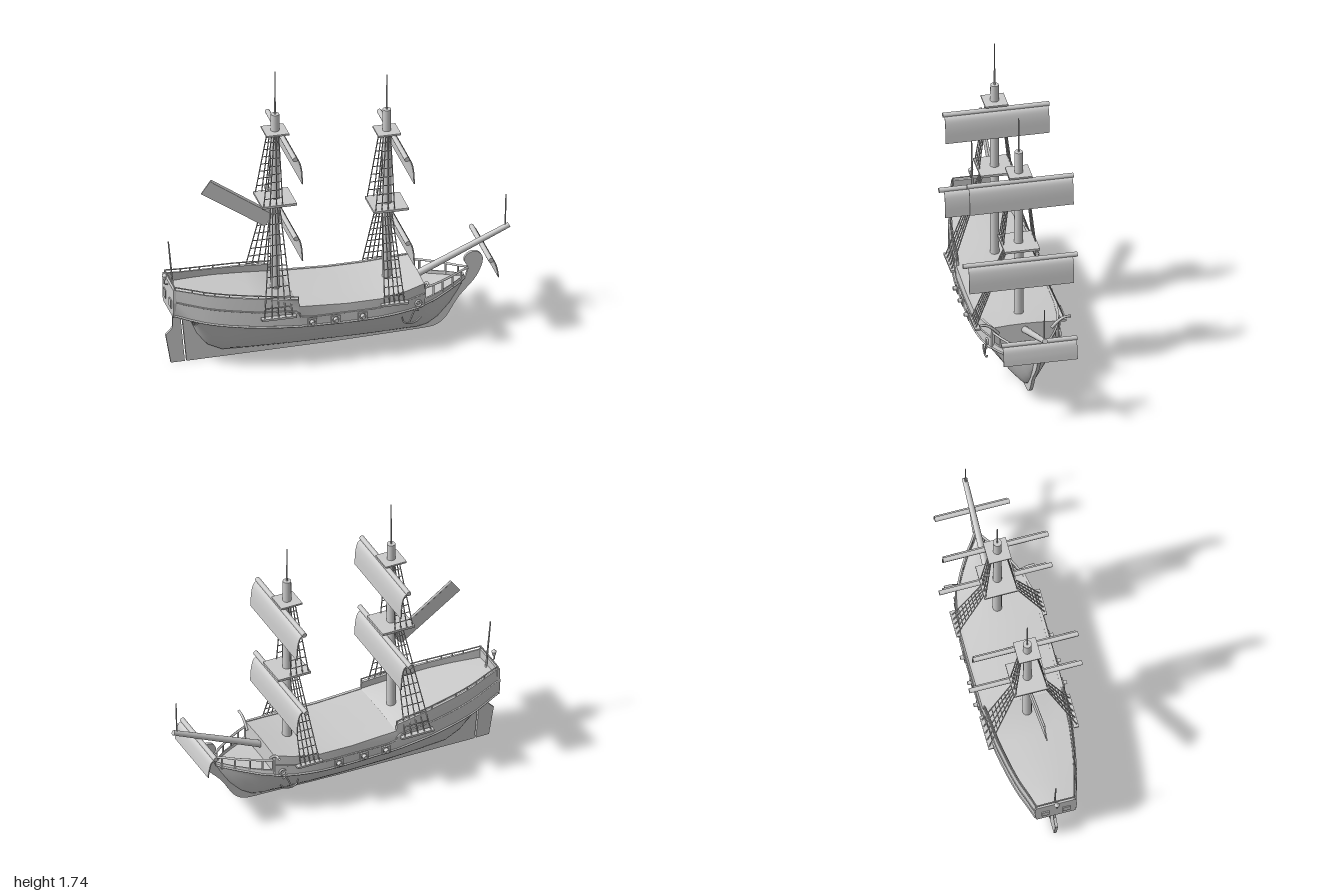
import * as THREE from 'three';
import { mergeGeometries, toCreasedNormals } from 'three/addons/utils/BufferGeometryUtils.js';

const mat = new THREE.MeshStandardMaterial({ color: 0xcccccc, side: THREE.DoubleSide });
const V = (x, y, z) => new THREE.Vector3(x, y, z);

export function createModel() {
  const ship = new THREE.Group();
  ship.name = 'sailingShip';
  const add = (name, geo) => {
    const m = new THREE.Mesh(geo, mat);
    m.name = name;
    ship.add(m);
    return m;
  };
  const box = (w, h, d, x, y, z) => new THREE.BoxGeometry(w, h, d).translate(x, y, z);
  const rod = (a, b, r, r2 = r, sides = 8) => {
    const g = new THREE.CylinderGeometry(r2, r, a.distanceTo(b), sides);
    const q = new THREE.Quaternion().setFromUnitVectors(V(0, 1, 0), b.clone().sub(a).normalize());
    g.applyQuaternion(q);
    const c = a.clone().add(b).multiplyScalar(0.5);
    return g.translate(c.x, c.y, c.z);
  };
  const tube = (pts, r, n = 40) => new THREE.TubeGeometry(new THREE.CatmullRomCurve3(pts), n, r, 6);
  const plate = (pts, depth) => new THREE.ExtrudeGeometry(
    new THREE.Shape(pts.map(p => new THREE.Vector2(p[0], p[1]))), { depth, bevelEnabled: false }
  ).translate(0, 0, -depth / 2);

  // Hull stations: x, keel y, wale y, wale half width, rail y, rail half width, deck y
  const stations = [
    [-0.955, 0.335, 0.34, 0.11, 0.505, 0.112, 0.45],
    [-0.86, 0.3, 0.312, 0.13, 0.487, 0.138, 0.442],
    [-0.8, 0.16, 0.298, 0.15, 0.476, 0.157, 0.435],
    [-0.74, 0.085, 0.287, 0.165, 0.467, 0.172, 0.428],
    [-0.66, 0.045, 0.276, 0.182, 0.457, 0.189, 0.42],
    [-0.5, 0.04, 0.26, 0.208, 0.44, 0.215, 0.4],
    [-0.275, 0.036, 0.246, 0.227, 0.415, 0.234, 0.375],
    [-0.27, 0.036, 0.246, 0.227, 0.374, 0.234, 0.371],
    [0, 0.035, 0.24, 0.23, 0.36, 0.236, 0.357],
    [0.2, 0.035, 0.244, 0.225, 0.362, 0.235, 0.359],
    [0.35, 0.036, 0.252, 0.205, 0.38, 0.217, 0.376],
    [0.46, 0.037, 0.262, 0.175, 0.4, 0.19, 0.396],
    [0.464, 0.037, 0.262, 0.175, 0.3, 0.182, 0.285],
    [0.52, 0.048, 0.27, 0.15, 0.305, 0.16, 0.287],
    [0.58, 0.085, 0.28, 0.115, 0.31, 0.125, 0.291],
    [0.65, 0.16, 0.29, 0.07, 0.318, 0.078, 0.298],
    [0.71, 0.25, 0.298, 0.025, 0.325, 0.03, 0.305],
    [0.735, 0.3, 0.305, 0.005, 0.33, 0.007, 0.315],
  ];
  const section = ([x, yk, yw, hw, yt, ht, yd]) => {
    const half = [];
    for (let k = 0; k <= 8; k++) {
      const s = k / 8;
      half.push([hw * s, yk + (yw - yk) * Math.pow(s, 1.55)]);
    }
    half.push([ht + 0.004, yw + 0.012], [ht + 0.003, yw + (yt - yw) * 0.6], [ht, yt]);
    half.push([ht * 0.93, yt], [ht * 0.93, yd], [ht * 0.45, yd + 0.006], [0, yd + 0.008]);
    const other = half.slice(0, -1).reverse().map(([z, y]) => [-z, y]);
    return half.concat(other).map(([z, y]) => [x, y, z]);
  };
  const rings = stations.map(section), n = rings[0].length, index = [];
  for (let i = 0; i < rings.length - 1; i++)
    for (let j = 0; j < n - 1; j++) {
      const a = i * n + j, c = a + n;
      index.push(a, c, a + 1, c, c + 1, a + 1);
    }
  const hull = new THREE.BufferGeometry();
  hull.setAttribute('position', new THREE.Float32BufferAttribute(rings.flat(2), 3));
  hull.setIndex(index);
  add('hull', toCreasedNormals(hull, 0.6));

  // Transom with a framed stern window
  add('transom', plate([[-0.112, 0.335], [0.112, 0.335], [0.122, 0.43], [0.115, 0.508], [-0.115, 0.508], [-0.122, 0.43]], 0.016)
    .rotateY(Math.PI / 2).translate(-0.957, 0, 0));
  for (const z of [-0.06, 0.06]) add('sternWindow', box(0.008, 0.05, 0.045, -0.967, 0.405, z));

  // Keel running into the curled stem, sternpost and rudder
  const stem = new THREE.Shape();
  stem.moveTo(-0.86, 0);
  stem.lineTo(0, 0.01);
  stem.lineTo(0.5, 0.025);
  stem.splineThru([[0.57, 0.035], [0.63, 0.08], [0.7, 0.19], [0.79, 0.29], [0.83, 0.36], [0.842, 0.42], [0.82, 0.455],
    [0.785, 0.465], [0.75, 0.45], [0.735, 0.415], [0.755, 0.37], [0.745, 0.32]].map(p => new THREE.Vector2(...p)));
  for (const p of [[0.7, 0.25], [0.63, 0.15], [0.56, 0.08], [0.48, 0.05], [-0.66, 0.05], [-0.74, 0.1], [-0.8, 0.18], [-0.84, 0.32], [-0.89, 0.32]])
    stem.lineTo(...p);
  add('keelAndStem', new THREE.ExtrudeGeometry(stem, { depth: 0.018, bevelEnabled: false, curveSegments: 30 }).translate(0, 0, -0.009));
  add('rudder', plate([[-0.95, 0], [-0.87, 0], [-0.9, 0.34], [-0.94, 0.34], [-0.94, 0.22], [-0.955, 0.2], [-0.98, 0.175]], 0.016));

  for (const s of [1, -1]) {
    // Wale and upper moulding
    add('wale', tube(stations.map(t => V(t[0], t[2] + 0.006, s * (t[5] + 0.002))), 0.007, 60));
    add('moulding', tube(stations.slice(0, 12).map(t => V(t[0], t[2] + (t[4] - t[2]) * 0.55, s * (t[5] + 0.003))), 0.005, 60));

    // Quarterdeck rail on short posts
    const aft = stations.slice(0, 7).map(t => V(t[0], t[4] + 0.017, s * t[5] * 0.97));
    add('quarterRail', tube(aft, 0.004));
    aft.forEach(p => add('railPost', rod(V(p.x, p.y - 0.03, p.z), p, 0.004)));

    // Open rails around the bow
    const bow = [[0.465, 0.18], [0.52, 0.155], [0.58, 0.122], [0.65, 0.078], [0.71, 0.034], [0.755, 0.006]];
    add('bowRail', tube(bow.map(([x, z]) => V(x, 0.367, s * z)), 0.007));
    bow.slice(0, 5).forEach(([x, z]) => add('bowPost', rod(V(x, 0.29, s * z), V(x, 0.367, s * z), 0.006)));

    // Cathead and anchor
    add('cathead', tube([V(0.465, 0.36, s * 0.15), V(0.465, 0.4, s * 0.19), V(0.465, 0.42, s * 0.225), V(0.465, 0.422, s * 0.26)], 0.008));
    const hawse = add('hawseRing', new THREE.TorusGeometry(0.016, 0.006, 8, 16));
    hawse.position.set(0.42, 0.29, s * 0.207);
    const az = s * 0.208;
    add('anchor', mergeGeometries([
      rod(V(0.405, 0.27, az), V(0.365, 0.175, az), 0.005),
      rod(V(0.375, 0.265, az), V(0.42, 0.245, az), 0.005),
      tube([V(0.325, 0.215, az), V(0.335, 0.185, az), V(0.365, 0.172, az), V(0.405, 0.18, az), V(0.435, 0.205, az)], 0.005),
    ]));

    // Framed gun ports with barrels
    for (const x of [-0.2, -0.065, 0.09]) {
      const port = new THREE.Shape([[-1, -1], [1, -1], [1, 1], [-1, 1]].map(p => new THREE.Vector2(p[0] * 0.026, p[1] * 0.024)));
      port.holes.push(new THREE.Path().absarc(0, 0, 0.018, 0, Math.PI * 2, true));
      add('gunPort', new THREE.ExtrudeGeometry(port, { depth: 0.012, bevelEnabled: false }).translate(x, 0.272, s * 0.243 - 0.006));
      add('cannon', rod(V(x, 0.272, s * 0.22), V(x, 0.274, s * 0.268), 0.014, 0.011, 12));
    }
  }
  add('sternRail', rod(V(-0.955, 0.522, -0.11), V(-0.955, 0.522, 0.11), 0.004));

  // Rope ladder: shrouds leaning inward, crossed by ratlines
  const ladder = (lo, hi, s, count, rungs) => {
    const parts = [];
    const at = (u, t) => V(
      THREE.MathUtils.lerp(THREE.MathUtils.lerp(lo.x0, lo.x1, u), THREE.MathUtils.lerp(hi.x0, hi.x1, u), t),
      THREE.MathUtils.lerp(lo.y, hi.y, t), s * THREE.MathUtils.lerp(lo.z, hi.z, t));
    for (let i = 0; i < count; i++) parts.push(rod(at(i / (count - 1), 0), at(i / (count - 1), 1), 0.0035, 0.0035, 5));
    for (let j = 1; j <= rungs; j++) parts.push(rod(at(0, j / (rungs + 1)), at(1, j / (rungs + 1)), 0.0028, 0.0028, 5));
    add('shrouds', mergeGeometries(parts));
  };

  // Sail curving forward below its yard
  const sail = (x, y, width, drop, yard) => {
    const curve = new THREE.CatmullRomCurve3([V(0, 0, 0), V(0.025, -0.015, 0), V(0.04, -0.06, 0), V(0.048, -drop, 0)]);
    const p = curve.getPoints(12).map(v => [x + v.x, y + v.y]);
    const back = p.map(([a, b]) => [a - 0.006, b - 0.003]).reverse();
    add('sail', toCreasedNormals(plate(p.concat(back), width), 0.6));
    add('yard', rod(V(x, y, -yard / 2), V(x, y, yard / 2), 0.014, 0.014, 12));
  };

  // Masts with platforms, poles, shrouds and two sails each
  const mast = (x, top, pole, upper, lower, foot) => {
    add('mast', rod(V(x, 0.34, 0), V(x, top, 0), 0.027, 0.024, 16));
    add('topPole', rod(V(x, top, 0), V(x, pole, 0), 0.005, 0.003));
    add('upperPlatform', box(0.13, 0.01, 0.13, x, upper, 0));
    add('lowerPlatform', box(0.2, 0.014, 0.2, x, lower, 0));
    for (const s of [1, -1]) {
      ladder({ x0: x + foot, x1: x + 0.035, y: 0.328, z: 0.252 }, { x0: x - 0.04, x1: x + 0.01, y: lower, z: 0.055 }, s, 5, 10);
      ladder({ x0: x - 0.09, x1: x + 0.02, y: lower, z: 0.092 }, { x0: x - 0.03, x1: x + 0.01, y: upper, z: 0.04 }, s, 4, 8);
      add('channelBoard', box(0.075 - foot, 0.012, 0.03, x + (foot + 0.04) / 2, 0.326, s * 0.245));
    }
    sail(x + 0.036, upper - 0.035, 0.59, 0.16, 0.605);
    sail(x + 0.036, lower - 0.095, 0.595, 0.155, 0.65);
  };
  mast(-0.35, 1.475, 1.74, 1.37, 0.945, -0.125);
  mast(0.293, 1.42, 1.635, 1.285, 0.83, -0.08);

  // Fore-and-aft sail behind the rear mast
  add('aftSail', plate([[-0.72, 1.108], [-0.775, 1.03], [-0.41, 0.78], [-0.355, 0.85]], 0.007));
  add('gaff', rod(V(-0.72, 1.105, 0), V(-0.35, 0.845, 0), 0.007));

  // Bowsprit with its small sail and pole
  add('bowsprit', rod(V(0.42, 0.345, 0), V(0.995, 0.602, 0), 0.021, 0.015, 12));
  add('bowPole', rod(V(0.973, 0.59, 0), V(0.977, 0.795, 0), 0.005, 0.003));
  sail(0.835, 0.505, 0.42, 0.11, 0.43);

  // Stern flagpole and lantern
  add('flagpole', rod(V(-0.935, 0.45, 0), V(-0.963, 0.755, 0), 0.006, 0.004));
  add('lanternArm', tube([V(-0.96, 0.49, 0), V(-0.985, 0.495, 0), V(-0.985, 0.525, 0)], 0.004, 10));
  add('lantern', new THREE.LatheGeometry([[0, 0], [0.009, 0], [0.014, 0.024], [0.016, 0.026], [0, 0.042]]
    .map(p => new THREE.Vector2(...p)), 8).translate(-0.985, 0.52, 0));

  ship.position.z = -0.01;
  const root = new THREE.Group();
  root.name = 'model';
  root.add(ship);
  return root;
}
